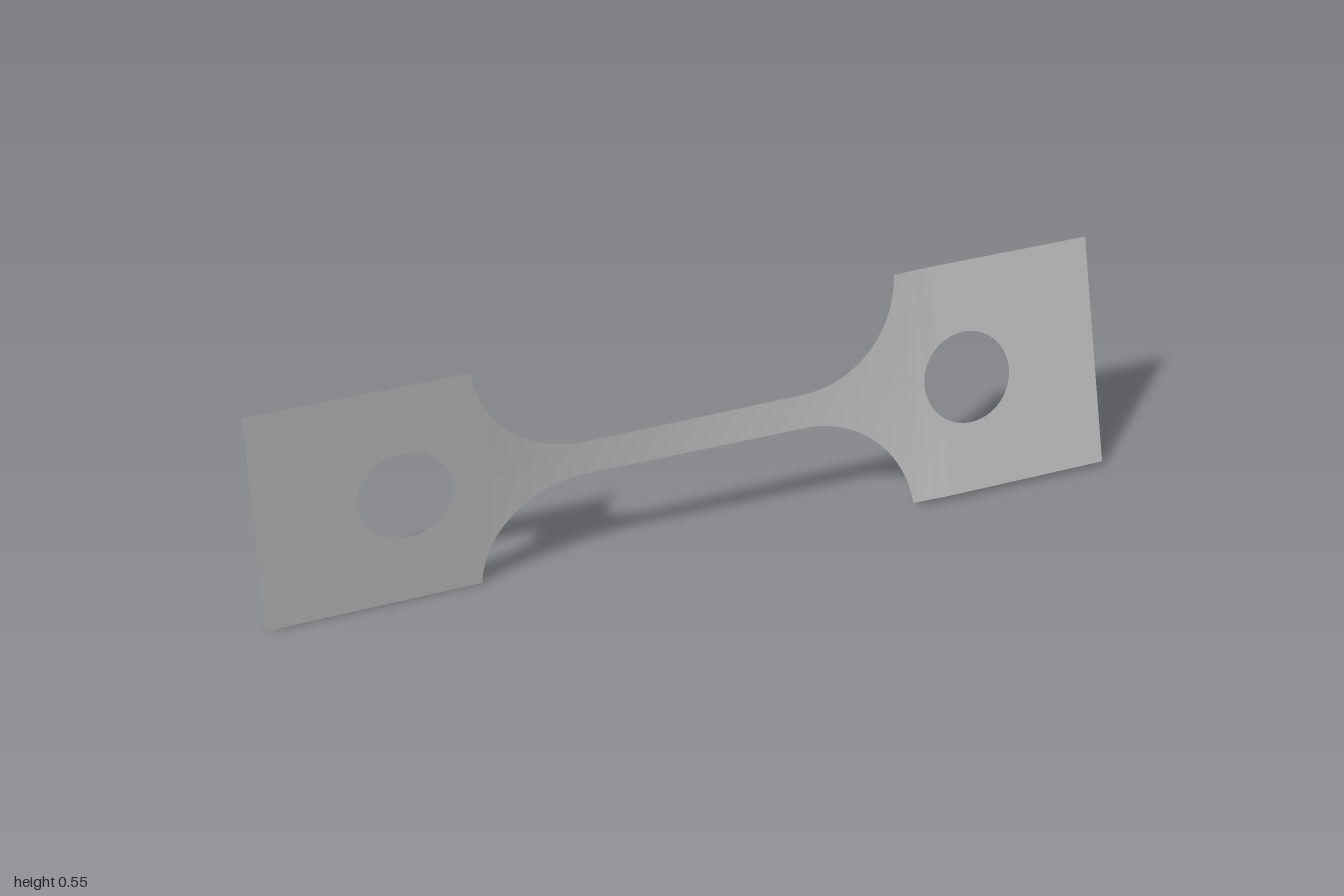
import * as THREE from 'three';

const MID = 0.2725;        // centre line height, also half the tab height
const BAR = 0.04;          // half height of the slim bar
const FILLET = 0.25;       // radius of the shoulder arcs
const FILLET_X = 0.26;     // where the shoulder arcs meet the bar
const HOLE_X = 0.67, HOLE_R = 0.108;
const TWIST = THREE.MathUtils.degToRad(18.2);
const TAB_X = FILLET_X + Math.sqrt(FILLET ** 2 - (BAR + FILLET - MID) ** 2);

// Twist grows evenly along the neck, leaving the tabs nearly flat
const twistAt = (x) => TWIST * THREE.MathUtils.clamp((x + 0.48) / 1.08, 0, 1);

// Sheet made of upper and lower strips; each column is [x, inner, outer] half heights
function sheet(name, columns, material) {
  const positions = [], index = [];
  for (const side of [1, -1]) {
    const base = positions.length / 3;
    columns.forEach(([x, inner, outer], i) => {
      const a = twistAt(x);
      const ends = side > 0 ? [inner, outer] : [-outer, -inner];
      for (const v of ends) positions.push(x, MID + v * Math.cos(a), -v * Math.sin(a));
      if (i > 0) {
        const k = base + 2 * (i - 1);
        index.push(k, k + 2, k + 3, k, k + 3, k + 1);
      }
    });
  }
  const geometry = new THREE.BufferGeometry();
  geometry.setAttribute('position', new THREE.Float32BufferAttribute(positions, 3));
  geometry.setIndex(index);
  geometry.computeVertexNormals();
  const mesh = new THREE.Mesh(geometry, material);
  mesh.name = name;
  return mesh;
}

// Mirror columns across x = 0, keeping x ascending
const mirror = (columns) => columns.map(([x, i, o]) => [-x, i, o]).reverse();

export function createModel() {
  const metal = new THREE.MeshStandardMaterial({ color: 0xc0c0c0, side: THREE.DoubleSide });
  metal.name = 'light grey metal';

  // Grip tab with a round hole
  const tab = [[TAB_X, 0, MID]];
  const steps = 40;
  for (let i = 0; i <= steps; i++) {
    const t = Math.PI * i / steps;
    tab.push([HOLE_X - HOLE_R * Math.cos(t), HOLE_R * Math.sin(t), MID]);
  }
  tab.push([1, 0, MID]);

  // Half of the neck: straight bar, then the shoulder arc
  const half = [];
  for (let i = 1; i <= 10; i++) half.push([FILLET_X * i / 10, 0, BAR]);
  const arcEnd = Math.asin((TAB_X - FILLET_X) / FILLET);
  for (let i = 1; i <= 24; i++) {
    const t = arcEnd * i / 24;
    half.push([FILLET_X + FILLET * Math.sin(t), 0, BAR + FILLET * (1 - Math.cos(t))]);
  }
  const neck = [...mirror(half), [0, 0, BAR], ...half];

  const group = new THREE.Group();
  group.name = 'twistedTensileStrip';
  group.add(
    sheet('rightGripTab', mirror(tab), metal),
    sheet('neck', neck, metal),
    sheet('leftGripTab', tab, metal),
  );
  return group;
}
